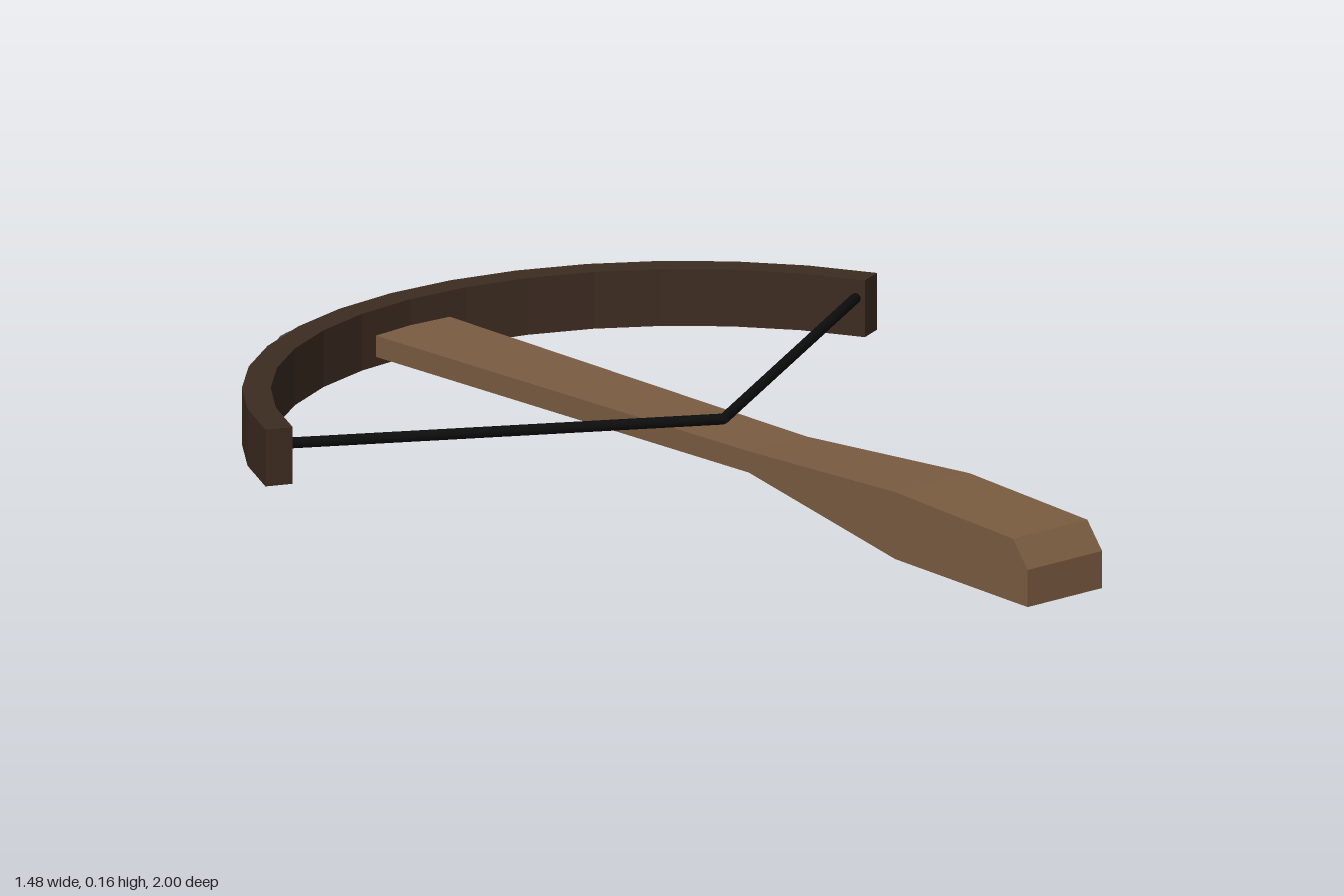
import * as THREE from 'three';

const mat = (name, color) => {
  const m = new THREE.MeshStandardMaterial({ color });
  m.name = name;
  return m;
};

export function createModel() {
  const group = new THREE.Group();
  const stockWood = mat('stock wood', 0x7a5c41);
  const bowWood = mat('dark bow wood', 0x3d2c21);
  const cord = mat('black cord', 0x0d0d0d);
  const iron = mat('iron', 0x505052);

  const add = (name, geometry, material) => {
    const mesh = new THREE.Mesh(geometry, material);
    mesh.name = name;
    group.add(mesh);
    return mesh;
  };

  // Stock: a box reshaped by stations of [z, half width, bottom, top]
  const stations = [
    [1, 0.09, 0, 0.07],
    [0.96, 0.09, 0.001, 0.12],
    [0.64, 0.09, 0.01, 0.136],
    [0.22, 0.07, 0.075, 0.115],
    [-0.8, 0.09, 0.075, 0.115],
  ];
  const n = stations.length - 1;
  const box = new THREE.BoxGeometry(2, 2, n, 1, 1, n);
  const p = box.attributes.position;
  for (let i = 0; i < p.count; i++) {
    const [z, w, bottom, top] = stations[Math.round(n / 2 - p.getZ(i))];
    p.setXYZ(i, p.getX(i) * w, p.getY(i) > 0 ? top : bottom, z);
  }
  const stock = box.toNonIndexed();
  stock.computeVertexNormals();
  add('stock', stock, stockWood);

  // Bow: a faceted arc extruded upwards
  const segments = 14, sweep = THREE.MathUtils.degToRad(67);
  const outline = [];
  const arc = (radius, dir) => {
    for (let i = 0; i <= segments; i++) {
      const a = dir * sweep * (1 - 2 * i / segments);
      outline.push(new THREE.Vector2(radius * Math.sin(a), 0.026 + radius * Math.cos(a)));
    }
  };
  arc(0.804, 1);
  arc(0.752, -1);
  const bow = new THREE.ExtrudeGeometry(new THREE.Shape(outline), { depth: 0.107, bevelEnabled: false });
  bow.rotateX(-Math.PI / 2).translate(0, 0.057, 0);
  add('bow', bow, bowWood);

  // Bowstring: two taut halves meeting over the stock
  for (const side of [-1, 1]) {
    const from = new THREE.Vector3(side * 0.7, 0.129, -0.345);
    const to = new THREE.Vector3(0, 0.129, 0.073);
    const half = new THREE.CylinderGeometry(0.01, 0.01, from.distanceTo(to), 8);
    const string = add(side > 0 ? 'leftString' : 'rightString', half, cord);
    string.position.copy(from).add(to).multiplyScalar(0.5);
    string.quaternion.setFromUnitVectors(new THREE.Vector3(0, 1, 0), to.sub(from).normalize());
  }

  // Stirrup: a bent iron loop ahead of the bow
  const right = [[-0.08, -0.8], [-0.1, -0.85], [-0.142, -0.935], [-0.145, -0.96], [-0.122, -0.98]];
  const left = right.map(([x, z]) => [-x, z]).reverse();
  const loop = [...right, [0, -0.991], ...left].map(([x, z]) => new THREE.Vector3(x, 0.07, z));
  const path = new THREE.CatmullRomCurve3(loop);
  add('stirrup', new THREE.TubeGeometry(path, 36, 0.009, 6), iron);

  return group;
}
